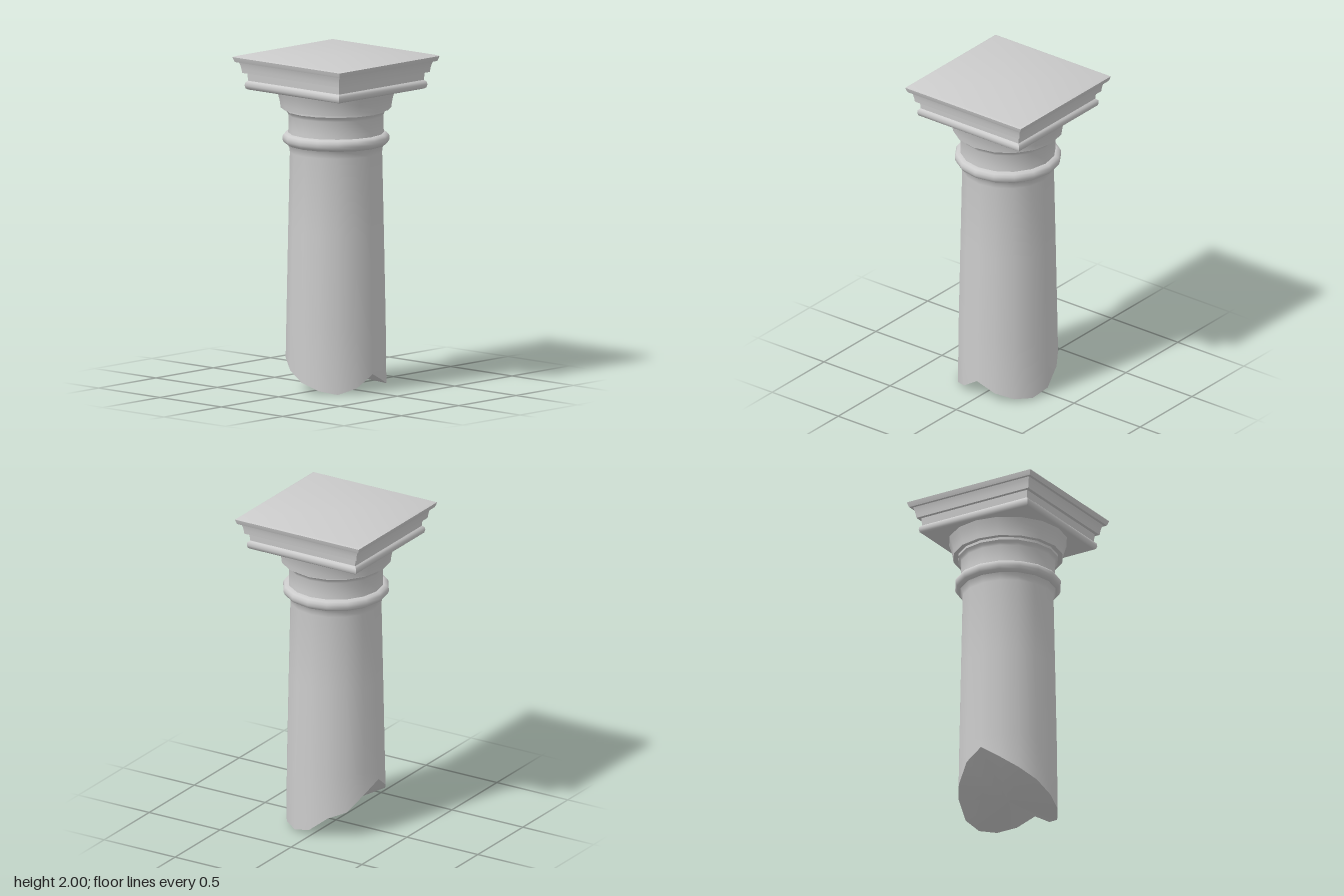
import * as THREE from 'three';
import { toCreasedNormals } from 'three/addons/utils/BufferGeometryUtils.js';

const material = new THREE.MeshStandardMaterial({ color: 0xcccccc });
const SIDES = 16;

// Heights of the broken lower rim, going round from the front (+z) towards +x
const BREAK = [0.11, 0.055, 0.02, 0.01, 0.04, 0.13, 0.17, 0.27,
  0.33, 0.25, 0.18, 0.12, 0.06, 0.02, 0.0, 0.035];

// Revolve a list of [radius, height] pairs, bottom to top
function lathe(profile, sides) {
  return new THREE.LatheGeometry(profile.map(([r, y]) => new THREE.Vector2(r, y)), sides);
}

function part(name, geometry, crease) {
  const mesh = new THREE.Mesh(toCreasedNormals(geometry, crease), material);
  mesh.name = name;
  return mesh;
}

// Tapered shaft whose lower rim follows the break, closed by a fan to the centre
function shaftGeometry() {
  const profile = [[0, 0.09], [0.3, 0], [0.296, 0.4], [0.285, 0.95], [0.275, 1.42],
    [0.278, 1.445], [0.288, 1.465]];
  const geometry = lathe(profile, SIDES);
  const pos = geometry.attributes.position;
  for (let i = 0; i <= SIDES; i++) pos.setY(i * profile.length + 1, BREAK[i % SIDES]);
  return geometry;
}

// Square moulding: a four-sided lathe, profile given as half widths
function squareMoulding(profile) {
  const geometry = lathe(profile.map(([w, y]) => [w * Math.SQRT2, y]), 4);
  return geometry.rotateY(Math.PI / 4);
}

export function createModel() {
  const group = new THREE.Group();
  group.name = 'brokenColumn';

  group.add(part('shaft', shaftGeometry(), 0.75));

  // Rounded ring below the neck
  group.add(part('neckRing', lathe([[0.27, 1.465], [0.288, 1.465], [0.31, 1.478], [0.319, 1.495],
    [0.319, 1.515], [0.31, 1.53], [0.29, 1.538], [0.27, 1.538]], SIDES), 0.9));

  // Plain neck with a small fillet at its top
  group.add(part('neck', lathe([[0.286, 1.53], [0.284, 1.56], [0.284, 1.645], [0.29, 1.66],
    [0.302, 1.672], [0.302, 1.688]], SIDES), 0.75));

  // Flaring round cushion under the square top
  group.add(part('cushion', lathe([[0.28, 1.688], [0.33, 1.688], [0.333, 1.715], [0.339, 1.745],
    [0.348, 1.775], [0.357, 1.8]], SIDES), 0.75));

  // Square capital: rounded lower band, recess, and flared upper moulding
  group.add(part('capital', squareMoulding([[0, 1.797], [0.37, 1.797], [0.381, 1.805], [0.385, 1.822],
    [0.383, 1.838], [0.375, 1.846], [0.37, 1.85], [0.374, 1.897], [0.395, 1.897],
    [0.398, 1.92], [0.403, 1.945], [0.41, 1.965]]), 0.75));

  // Thin slab on top
  group.add(part('topSlab', squareMoulding([[0.35, 1.963], [0.426, 1.963], [0.431, 1.975],
    [0.436, 1.993], [0.42, 2], [0, 2]]), 0.75));

  return group;
}
